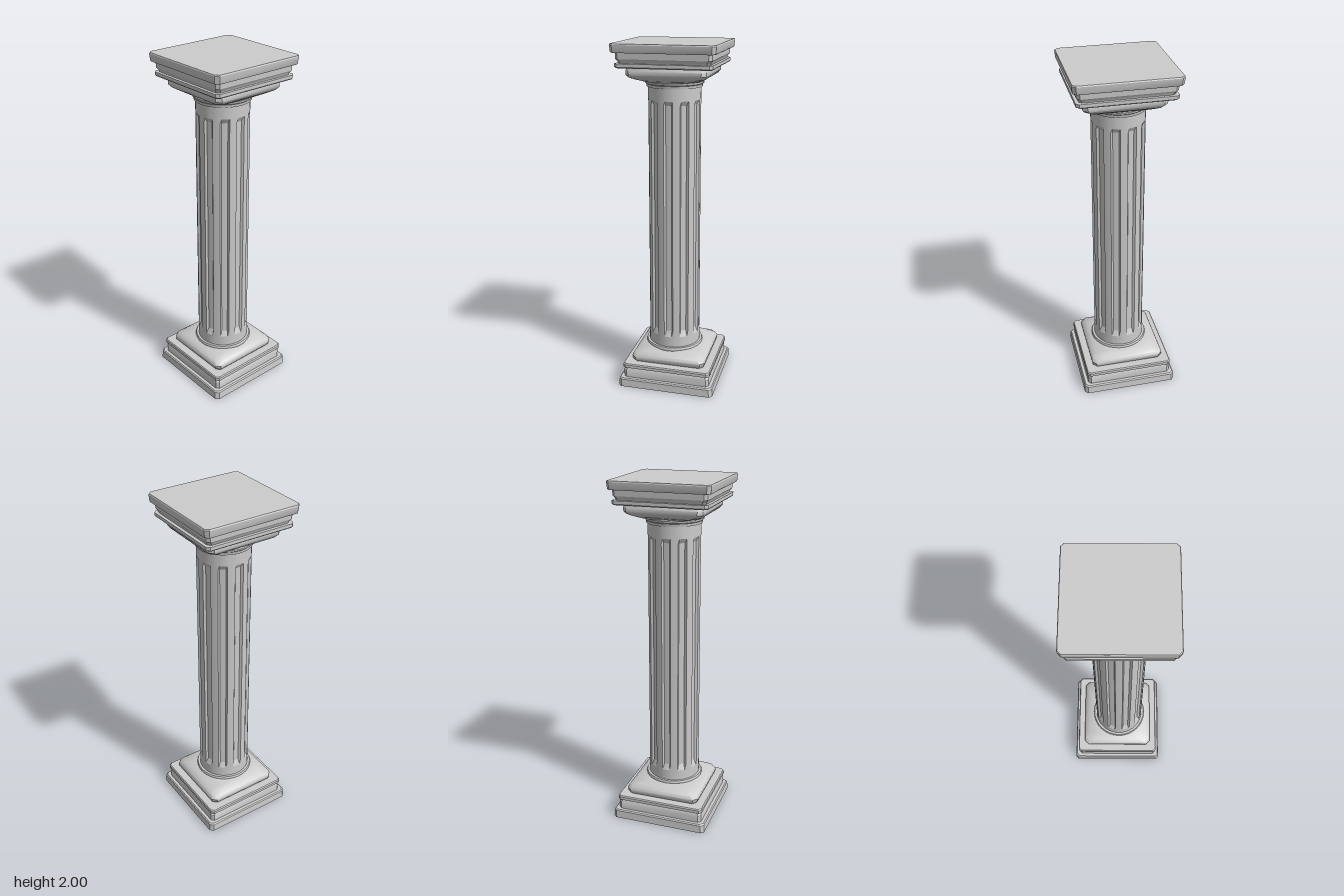
import * as THREE from 'three';
import { toCreasedNormals } from 'three/addons/utils/BufferGeometryUtils.js';

const material = new THREE.MeshStandardMaterial({ color: 0xcccccc });

// Skins a stack of rings (bottom to top, anticlockwise from above) and closes both ends.
function loft(rings, crease = 0.5) {
  const n = rings[0].length;
  const positions = [];
  const index = [];
  for (const ring of rings) for (const p of ring) positions.push(p.x, p.y, p.z);
  for (let r = 0; r < rings.length - 1; r++) {
    for (let i = 0; i < n; i++) {
      const a = r * n + i, b = r * n + (i + 1) % n;
      index.push(a, b, b + n, a, b + n, a + n);
    }
  }
  const last = (rings.length - 1) * n;
  const low = positions.length / 3;
  positions.push(0, rings[0][0].y, 0, 0, rings[rings.length - 1][0].y, 0);
  for (let i = 0; i < n; i++) {
    const j = (i + 1) % n;
    index.push(low, j, i, low + 1, last + i, last + j);
  }
  const geometry = new THREE.BufferGeometry();
  geometry.setAttribute('position', new THREE.Float32BufferAttribute(positions, 3));
  geometry.setIndex(index);
  return toCreasedNormals(geometry, crease);
}

// Square ring with cut corners.
function squareRing([y, half, cut]) {
  const ring = [];
  for (let k = 0; k < 4; k++) {
    for (const [x, z] of [[half - cut, half], [half, half - cut]]) {
      ring.push(new THREE.Vector3(x, y, z).applyAxisAngle(new THREE.Vector3(0, 1, 0), k * Math.PI / 2));
    }
  }
  return ring;
}

// Round ring with ten flutes of the given depth.
function flutedRing([y, radius, depth]) {
  const ring = [];
  for (let k = 0; k < 10; k++) {
    for (const [angle, cut] of [[-8, 0], [0, 0], [8, 0], [11, 1], [18, 1], [25, 1]]) {
      const a = THREE.MathUtils.degToRad(k * 36 + angle);
      const r = radius - cut * depth;
      ring.push(new THREE.Vector3(r * Math.sin(a), y, r * Math.cos(a)));
    }
  }
  return ring;
}

function addPart(parent, name, geometry) {
  const mesh = new THREE.Mesh(geometry, material);
  mesh.name = name;
  parent.add(mesh);
}

const lathe = (points) => toCreasedNormals(
  new THREE.LatheGeometry(points.map(([r, y]) => new THREE.Vector2(r, y)), 32), 0.6);

export function createModel() {
  const column = new THREE.Group();
  column.name = 'column';

  // Base, set slightly off the shaft's axis
  const base = new THREE.Group();
  base.name = 'base';
  base.position.set(-0.01, 0, -0.003);
  column.add(base);
  addPart(base, 'plinth', loft([
    [0, 0.284, 0.018], [0.045, 0.281, 0.018], [0.052, 0.275, 0.018],
  ].map(squareRing)));
  addPart(base, 'baseBlock', loft([
    [0.05, 0.257, 0.016], [0.095, 0.257, 0.016], [0.105, 0.252, 0.016], [0.116, 0.249, 0.016],
  ].map(squareRing)));
  addPart(base, 'baseLip', loft([
    [0.114, 0.262, 0.016], [0.132, 0.262, 0.016], [0.139, 0.257, 0.016],
  ].map(squareRing)));
  addPart(base, 'baseCushion', loft([
    [0.137, 0.208, 0.02], [0.15, 0.217, 0.022], [0.17, 0.22, 0.024],
    [0.187, 0.213, 0.03], [0.202, 0.192, 0.045], [0.217, 0.167, 0.07],
  ].map(squareRing), 0.75));

  // Shaft with stopped flutes
  const shaft = new THREE.Group();
  shaft.name = 'shaft';
  shaft.position.set(0.001, 0, 0.003);
  column.add(shaft);
  addPart(shaft, 'lowerRing', lathe([
    [0, 0.212], [0.167, 0.212], [0.169, 0.222], [0.165, 0.232], [0, 0.232],
  ]));
  addPart(shaft, 'flutedShaft', loft([
    [0.228, 0.151, 0], [0.295, 0.15, 0], [0.33, 0.15, 0.014],
    [1.665, 0.148, 0.014], [1.69, 0.148, 0], [1.765, 0.148, 0],
  ].map(flutedRing), 0.3));
  addPart(shaft, 'upperRing', lathe([
    [0, 1.757], [0.155, 1.757], [0.157, 1.772], [0.163, 1.777], [0.165, 1.787], [0.16, 1.798], [0, 1.798],
  ]));

  // Capital, offset the other way
  const capital = new THREE.Group();
  capital.name = 'capital';
  capital.position.set(0.006, 0, 0.001);
  column.add(capital);
  addPart(capital, 'capitalCushion', loft([
    [1.79, 0.158, 0.065], [1.803, 0.184, 0.045], [1.817, 0.208, 0.03],
    [1.833, 0.22, 0.024], [1.855, 0.22, 0.022], [1.876, 0.212, 0.02],
  ].map(squareRing), 0.75));
  addPart(capital, 'capitalLip', loft([
    [1.873, 0.258, 0.016], [1.879, 0.264, 0.016], [1.897, 0.264, 0.016],
  ].map(squareRing)));
  addPart(capital, 'capitalBlock', loft([
    [1.895, 0.246, 0.016], [1.908, 0.25, 0.016], [1.92, 0.259, 0.016], [1.957, 0.261, 0.016],
  ].map(squareRing)));
  addPart(capital, 'abacus', loft([
    [1.953, 0.278, 0.018], [1.958, 0.281, 0.018], [1.994, 0.284, 0.018], [2, 0.281, 0.018],
  ].map(squareRing)));

  return column;
}
